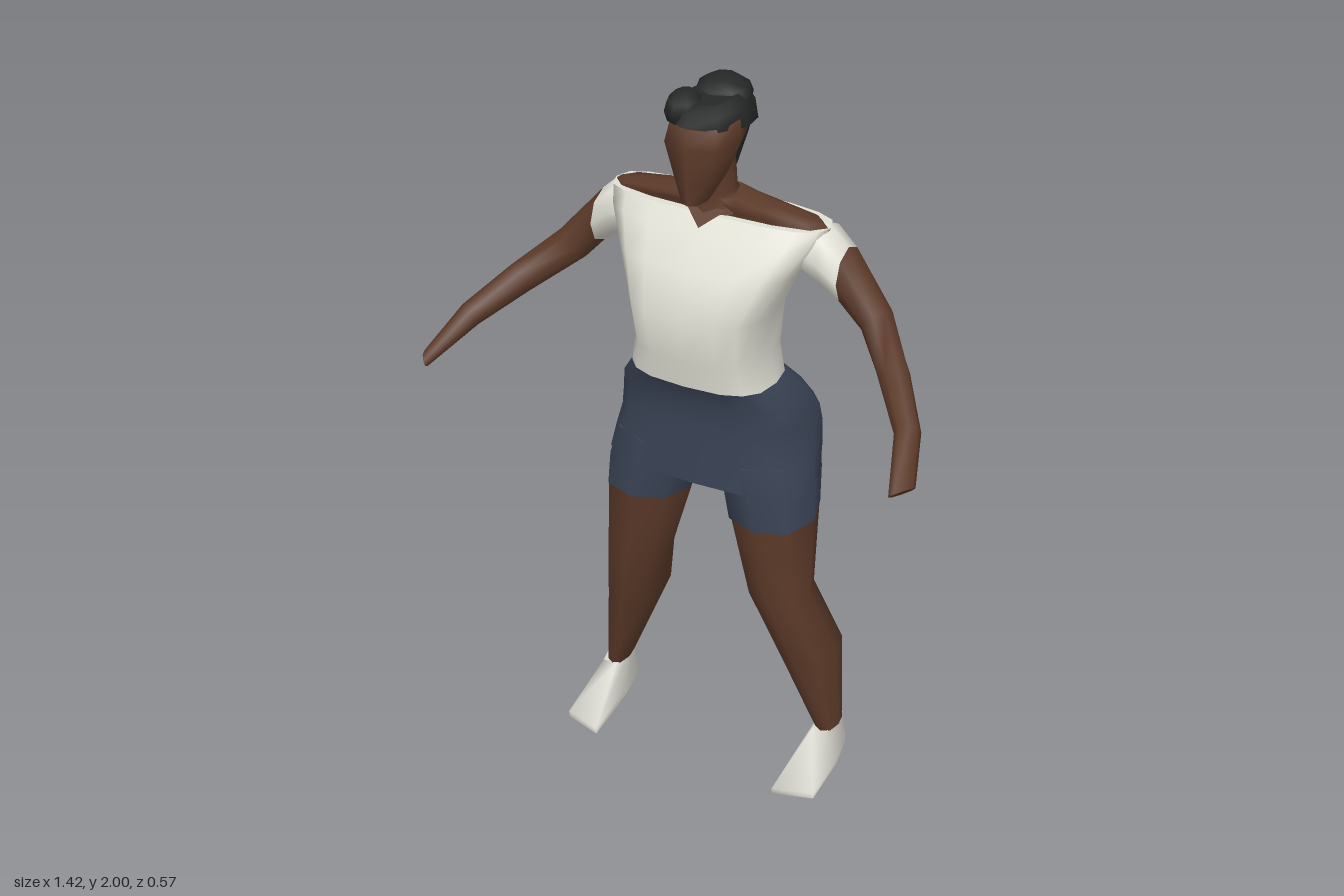
import * as THREE from 'three';

const V = (x, y, z) => new THREE.Vector3(x, y, z);
const mat = (name, color) => Object.assign(new THREE.MeshStandardMaterial({ color }), { name });

// Closed loop of points around c, spanned by u and v; e < 1 makes it boxier
function ring(c, u, v, n = 8, e = 1) {
  const pw = t => Math.sign(t) * Math.pow(Math.abs(t), e);
  return Array.from({ length: n }, (_, i) => {
    const a = (i / n) * Math.PI * 2;
    return c.clone().addScaledVector(u, pw(Math.cos(a))).addScaledVector(v, pw(Math.sin(a)));
  });
}

// Level ring from its side, front and back limits; tilt raises it towards the front
function level(y, x0, x1, zf, zb, n = 8, e = 1, tilt = 0) {
  const rz = (zf - zb) / 2;
  return ring(V((x0 + x1) / 2, y, (zf + zb) / 2), V((x1 - x0) / 2, 0, 0), V(0, tilt * rz, rz), n, e);
}

// Ring facing along direction d
function across(c, d, ru, rv, n = 8) {
  const dir = d.clone().normalize();
  const u = dir.clone().cross(V(0, 1, 0)).normalize();
  const v = u.clone().cross(dir);
  return ring(c, u.multiplyScalar(ru), v.multiplyScalar(rv), n);
}

// Smooth skin through the rings with flat caps, wound outwards
function loft(rings) {
  const n = rings[0].length, pts = rings.flat(), idx = [];
  for (let r = 0; r < rings.length - 1; r++) {
    for (let i = 0; i < n; i++) {
      const a = r * n + i, b = r * n + (i + 1) % n;
      idx.push(a, a + n, b, b, a + n, b + n);
    }
  }
  [rings[0], rings[rings.length - 1]].forEach((cap, k) => {
    const s = pts.length;
    pts.push(...cap, cap.reduce((m, p) => m.add(p), V(0, 0, 0)).divideScalar(n));
    for (let i = 0; i < n; i++) {
      const a = s + i, b = s + (i + 1) % n;
      if (k) idx.push(a, s + n, b); else idx.push(b, s + n, a);
    }
  });
  let volume = 0;
  const o = pts[0], t = V(0, 0, 0);
  for (let i = 0; i < idx.length; i += 3) {
    const [a, b, c] = [0, 1, 2].map(k => pts[idx[i + k]].clone().sub(o));
    volume += a.dot(t.crossVectors(b, c));
  }
  if (volume < 0) idx.reverse();
  const g = new THREE.BufferGeometry().setFromPoints(pts);
  g.setIndex(idx);
  g.computeVertexNormals();
  return g;
}

export function createModel() {
  const skin = mat('skin', 0x5c3a29);
  const hair = mat('hair', 0x262727);
  const cloth = mat('shirt', 0xe0dfd4);
  const denim = mat('shorts', 0x3a4355);
  const shoe = mat('shoe', 0xdad9d0);
  const model = new THREE.Group();
  model.name = 'figure';
  const add = (name, geometry, material, parent = model) => {
    const m = new THREE.Mesh(geometry, material);
    m.name = name;
    parent.add(m);
    return m;
  };
  const body = (rows, n, e) => loft(rows.map(([y, w, zf, zb]) => level(y, -w, w, zf, zb, n, e)));

  // Shirt body, shorts and bare shoulders: [height, half width, front, back]
  add('shirt', body([
    [1.21, 0.2, 0.1, -0.165], [1.29, 0.182, 0.115, -0.175], [1.42, 0.195, 0.136, -0.185],
    [1.53, 0.245, 0.085, -0.195], [1.61, 0.295, 0.02, -0.197], [1.65, 0.31, -0.02, -0.185],
  ], 16, 0.7), cloth);
  add('shoulders', body([
    [1.645, 0.31, -0.04, -0.155], [1.662, 0.29, -0.035, -0.155],
    [1.682, 0.15, -0.02, -0.15], [1.7, 0.07, -0.02, -0.14],
  ], 12, 0.8), skin);
  add('hips', body([
    [0.9, 0.296, 0.065, -0.2], [0.97, 0.283, 0.065, -0.25], [1.03, 0.268, 0.065, -0.285],
    [1.08, 0.262, 0.065, -0.275], [1.15, 0.248, 0.068, -0.215], [1.21, 0.203, 0.1, -0.168],
  ], 16, 0.7), denim);

  // Open collar point
  const collar = new THREE.BufferGeometry().setFromPoints([V(-0.06, 1.675, -0.018), V(0, 1.63, 0.022), V(0.06, 1.675, -0.018)]);
  collar.computeVertexNormals();
  add('collarOpening', collar, skin);

  // Neck and head
  add('neck', body([[1.66, 0.085, -0.005, -0.15], [1.71, 0.05, -0.015, -0.13], [1.8, 0.05, 0, -0.12]], 8, 0.8), skin);
  add('head', body([
    [1.715, 0.03, 0.08, -0.03], [1.77, 0.058, 0.083, -0.085], [1.87, 0.097, 0.092, -0.13],
    [1.92, 0.088, 0.075, -0.14], [1.96, 0.055, 0.03, -0.12],
  ], 8, 0.85), skin);

  // Hair cap, two lobes and the tail falling to the right shoulder blade
  const hairdo = new THREE.Group();
  hairdo.name = 'hair';
  model.add(hairdo);
  add('hairCap', loft([
    level(1.895, -0.1, 0.095, 0.08, -0.2, 8, 0.85, 0.2),
    level(1.94, -0.095, 0.088, 0.068, -0.19, 8, 0.85, 0.1),
    level(1.968, -0.06, 0.06, 0.03, -0.16, 8, 0.85),
  ]), hair, hairdo);
  [['frontLobe', -0.045, 1.945, 0.01, 0.048, 0.05, 0.06], ['backLobe', 0, 1.945, -0.11, 0.078, 0.055, 0.08]]
    .forEach(([name, x, y, z, a, b, c]) => {
      const lobe = add(name, new THREE.SphereGeometry(1, 8, 6), hair, hairdo);
      lobe.position.set(x, y, z);
      lobe.scale.set(a, b, c);
    });
  add('hairTail', loft([
    level(1.91, -0.085, 0.08, -0.06, -0.19), level(1.84, -0.08, 0.06, -0.08, -0.165),
    level(1.76, -0.075, 0.035, -0.085, -0.155), level(1.69, -0.095, -0.01, -0.12, -0.19),
    level(1.61, -0.1, -0.075, -0.185, -0.213),
  ]), hair, hairdo);

  // Sleeves and arms
  for (const s of [1, -1]) {
    const side = s > 0 ? 'left' : 'right';
    const P = (x, y, z) => V(s * x, y, z);
    const cuff = across(P(0.355, 1.527, -0.113), P(1, 0, 0), 0.07, 0.076);
    add(side + 'Sleeve', loft([
      across(P(0.2, 1.595, -0.11), P(1, 0, 0), 0.07, 0.05),
      across(P(0.3, 1.572, -0.113), P(1, 0, 0), 0.078, 0.083), cuff,
    ]), cloth);
    add(side + 'Arm', loft([
      cuff,
      across(P(0.445, 1.425, -0.1), P(0.65, -0.6, 0.35), 0.043, 0.052),
      across(P(0.545, 1.345, 0.005), P(0.6, -0.5, 0.65), 0.042, 0.044),
      across(P(0.637, 1.262, 0.115), P(0.45, -0.45, 0.7), 0.034, 0.034),
      across(P(0.69, 1.183, 0.255), P(0.5, -0.45, 0.3), 0.04, 0.013),
    ]), skin);
  }

  // Legs, each in its own stance: [height, inner x, outer x, front, back]
  const stances = {
    left: [1, [[0.8, 0.075, 0.3, 0.062, -0.19], [0.57, 0.13, 0.3, 0.04, -0.145],
      [0.37, 0.205, 0.36, 0, -0.205], [0.12, 0.31, 0.37, -0.06, -0.165]]],
    right: [-1, [[0.8, 0.07, 0.3, 0.062, -0.19], [0.57, 0.132, 0.308, 0.04, -0.145],
      [0.39, 0.183, 0.333, 0, -0.212], [0.12, 0.3, 0.355, -0.06, -0.165]]],
  };
  for (const [side, [s, rows]] of Object.entries(stances)) {
    const rings = rows.map(([y, a, b, zf, zb]) => level(y, s * a, s * b, zf, zb, 8, 0.85));
    add(side + 'Leg', loft(rings), skin);
    add(side + 'ShortsLeg', loft([
      level(0.98, s * 0.02, s * 0.275, 0.06, -0.25, 8, 0.85),
      level(0.9, s * 0.045, s * 0.297, 0.065, -0.215, 8, 0.85),
      level(0.8, s * 0.068, s * 0.302, 0.065, -0.193, 8, 0.85),
    ]), denim);

    // Shoe: toe edge, outer side, heel, inner side
    const sole = [[0.28, 0.115], [0.39, 0.08], [0.378, -0.09], [0.355, -0.195], [0.32, -0.195], [0.3, -0.09]];
    const top = [[0.315, -0.06], [0.355, -0.06], [0.368, -0.11], [0.355, -0.168], [0.32, -0.168], [0.305, -0.11]];
    const loop = (pts, y) => pts.map(([x, z]) => V(s * x, y, z));
    add(side + 'Shoe', loft([loop(sole, 0), loop(sole, 0.018), loop(top, 0.122)]), shoe);
  }
  return model;
}
